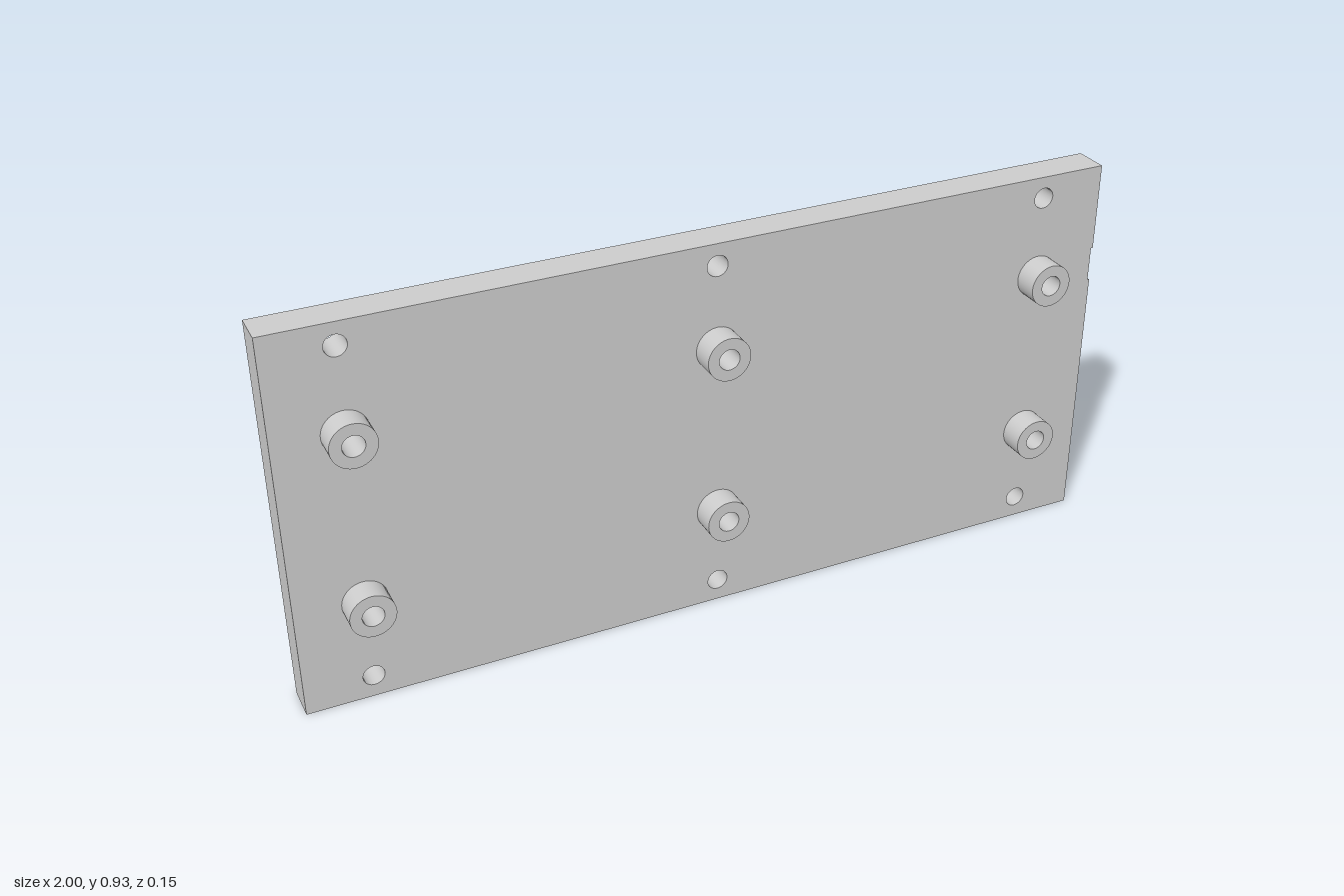
import * as THREE from 'three';

const W = 2, H = 0.93;
const BACK = -0.073, LEDGE = 0.005, FACE = 0.012, TIP = 0.073;
const HOLE_R = 0.025, BOSS_R = 0.052;
const COLUMNS = [-0.842, 0, 0.842];
const BOSS_ROWS = [0.255, 0.677];
const EDGE_ROWS = [0.055, 0.877];

const material = new THREE.MeshStandardMaterial({ color: 0xcccccc });

function circle(x, y, r) {
  return new THREE.Path().absarc(x, y, r, 0, Math.PI * 2, true);
}

// Extrudes a shape between two z positions
function slab(name, shape, z0, z1) {
  const geometry = new THREE.ExtrudeGeometry(shape, {
    depth: z1 - z0, bevelEnabled: false, curveSegments: 32,
  });
  geometry.translate(0, 0, z0);
  const mesh = new THREE.Mesh(geometry, material);
  mesh.name = name;
  return mesh;
}

// Plate outline with all through holes, optionally notched on the left edge
function plateShape(notched) {
  const points = [[-W / 2, 0], [W / 2, 0]];
  if (notched) points.push([1, 0.635], [0.995, 0.635], [0.995, 0.719], [1, 0.719]);
  points.push([W / 2, H], [-W / 2, H]);
  const shape = new THREE.Shape(points.map(([x, y]) => new THREE.Vector2(x, y)));
  for (const x of COLUMNS)
    for (const y of [...BOSS_ROWS, ...EDGE_ROWS]) shape.holes.push(circle(x, y, HOLE_R));
  return shape;
}

// Hollow standoff: smooth outer and inner walls, flat front ring
function boss(x, y) {
  const profile = [[HOLE_R, FACE], [BOSS_R, FACE], [BOSS_R, TIP], [HOLE_R, TIP], [HOLE_R, FACE]];
  const group = new THREE.Group();
  group.name = 'boss';
  for (let i = 1; i < profile.length - 1 + 1; i++) {
    if (i === 1) continue; // the base ring is closed by the plate
    const pair = [profile[i - 1], profile[i]].map(([r, z]) => new THREE.Vector2(r, z));
    const geometry = new THREE.LatheGeometry(pair, 48);
    geometry.rotateX(Math.PI / 2);
    const mesh = new THREE.Mesh(geometry, material);
    mesh.name = ['', '', 'bossOuterWall', 'bossRim', 'bossBore'][i];
    group.add(mesh);
  }
  group.position.set(x, y, 0);
  return group;
}

export function createModel() {
  const model = new THREE.Group();
  model.name = 'mountingPlate';

  // Plate, with a shallow notch in its front layer
  model.add(slab('plateBody', plateShape(false), BACK, LEDGE));
  model.add(slab('plateFace', plateShape(true), LEDGE, FACE));

  // Two rows of three standoffs
  for (const x of COLUMNS) for (const y of BOSS_ROWS) model.add(boss(x, y));
  return model;
}
